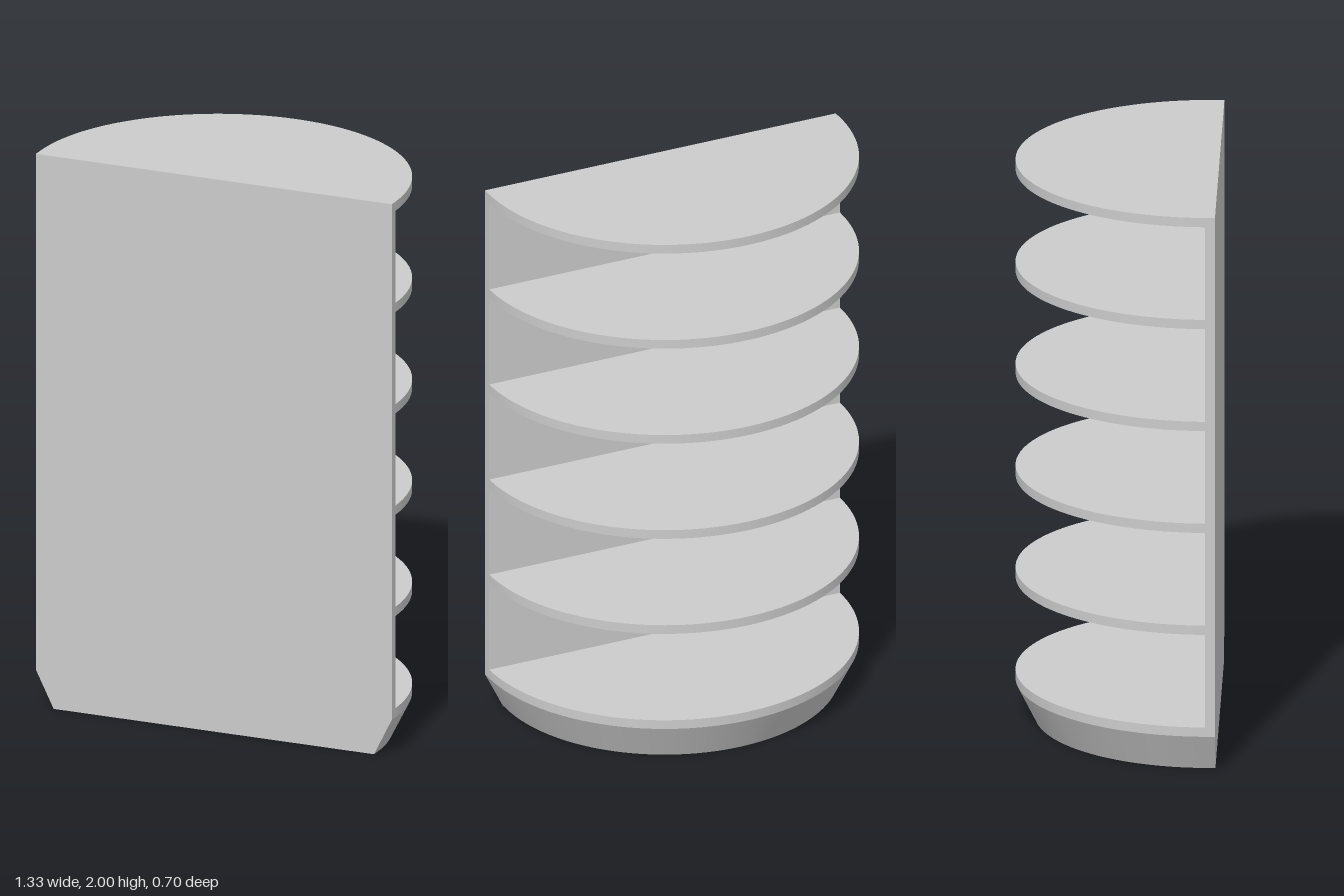
import * as THREE from 'three';

const R = 2 / 3;        // shelf radius
const T = 1 / 30;       // board thickness
const BASE_R = 0.6;     // foot radius at the floor
const BASE_H = 2 / 15;  // height of the tapered foot
const PANEL_Z = 0.35 - T;
const SHELVES = 6;

const material = new THREE.MeshStandardMaterial({ color: 0xcccccc });

// Half disc or half cone behind the panel, standing on height y
function halfRound(name, rTop, rBottom, height, y) {
  const geometry = new THREE.CylinderGeometry(rTop, rBottom, height, 64, 1, false, Math.PI / 2, Math.PI);
  const mesh = new THREE.Mesh(geometry, material);
  mesh.name = name;
  mesh.position.set(0, y + height / 2, PANEL_Z);
  return mesh;
}

export function createModel() {
  const group = new THREE.Group();
  group.name = 'halfRoundShelf';

  // Flat upright panel, with its lower corners following the foot's taper
  const outline = new THREE.Shape([
    [-BASE_R, 0], [BASE_R, 0], [R, BASE_H], [R, 2], [-R, 2], [-R, BASE_H],
  ].map(([x, y]) => new THREE.Vector2(x, y)));
  const panel = new THREE.Mesh(
    new THREE.ExtrudeGeometry(outline, { depth: T, bevelEnabled: false }), material);
  panel.name = 'uprightPanel';
  panel.position.z = PANEL_Z;
  group.add(panel);

  // Tapered solid foot
  group.add(halfRound('taperedBase', R, BASE_R, BASE_H, 0));

  // Evenly spaced half-round shelves, from the foot up to the top
  const step = (2 - T - BASE_H) / (SHELVES - 1);
  for (let i = 0; i < SHELVES; i++) {
    group.add(halfRound(`shelf${i + 1}`, R, R, T, BASE_H + i * step));
  }
  return group;
}
